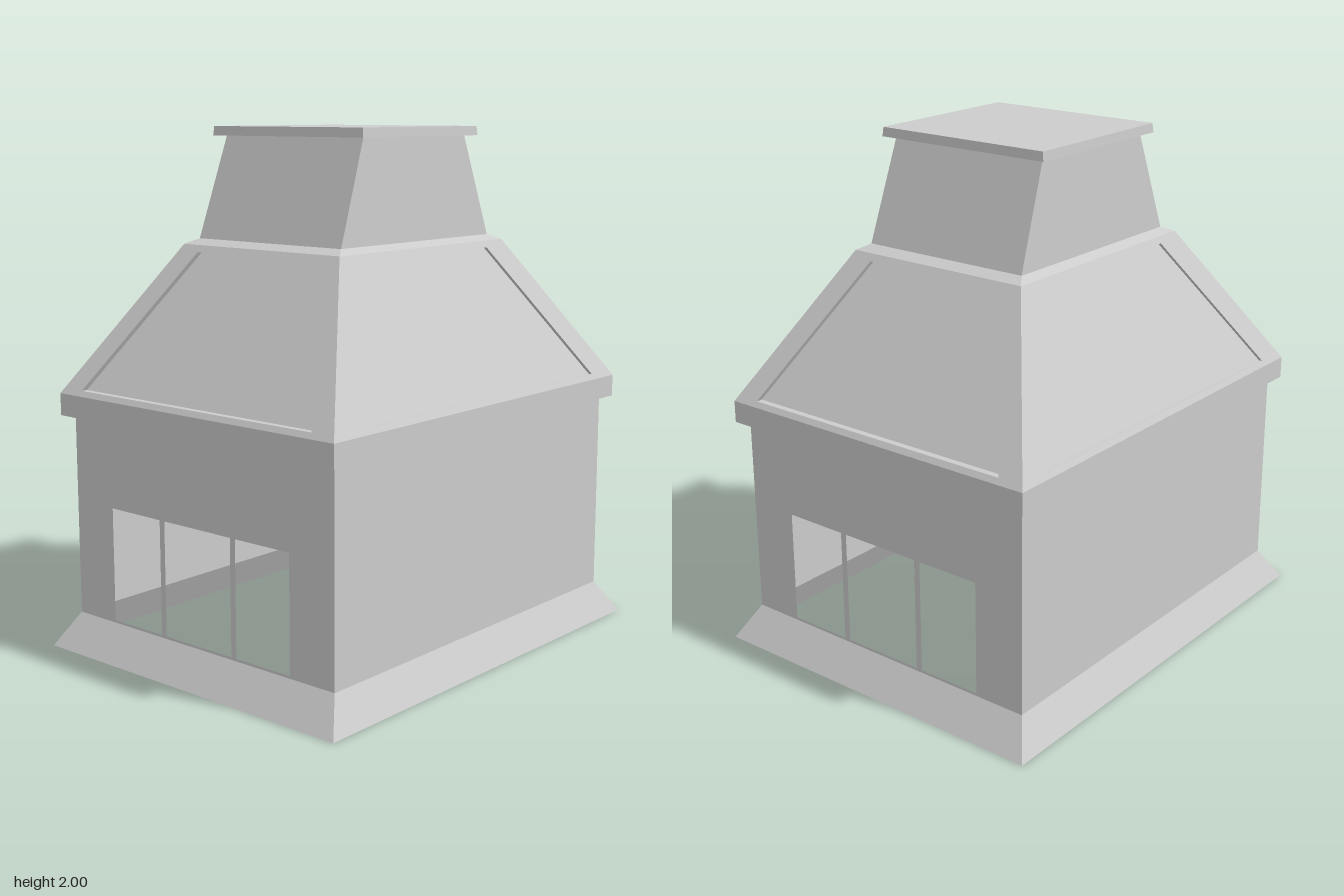
import * as THREE from 'three';

const material = new THREE.MeshStandardMaterial({ color: 0xcccccc, flatShading: true, side: THREE.DoubleSide });

// Flat-shaded mesh from quads, each given as four [x, y, z] corners counter-clockwise.
function quadMesh(name, quads) {
  const pos = [];
  for (const [a, b, c, d] of quads) pos.push(...a, ...b, ...c, ...a, ...c, ...d);
  const geo = new THREE.BufferGeometry();
  geo.setAttribute('position', new THREE.Float32BufferAttribute(pos, 3));
  geo.computeVertexNormals();
  const mesh = new THREE.Mesh(geo, material);
  mesh.name = name;
  return mesh;
}

// Four corners of a level rectangle, running counter-clockwise seen from above.
const corners = ([x, z, y]) => [[-x, y, z], [x, y, z], [x, y, -z], [-x, y, -z]];

// Rectangular shell through [halfX, halfZ, y] sections, bottom to top.
function shell(name, sections, closed = false) {
  const rings = sections.map(corners);
  const quads = [];
  for (let i = 0; i < rings.length - 1; i++) {
    for (let k = 0; k < 4; k++) {
      const n = (k + 1) % 4;
      quads.push([rings[i][k], rings[i][n], rings[i + 1][n], rings[i + 1][k]]);
    }
  }
  if (closed) quads.push(rings[rings.length - 1]);
  return quadMesh(name, quads);
}

// One roof slope facing +z with a recessed panel; lower/upper are [halfWidth, y, depth].
function roofSlope(lower, upper, panelLow, panelHigh, recess) {
  const depthAt = y => THREE.MathUtils.mapLinear(y, lower[1], upper[1], lower[2], upper[2]);
  const trapezoid = ([w0, y0], [w1, y1], inset) => [
    [-w0, y0, depthAt(y0) - inset], [w0, y0, depthAt(y0) - inset],
    [w1, y1, depthAt(y1) - inset], [-w1, y1, depthAt(y1) - inset],
  ];
  const outer = trapezoid(lower, upper, 0);
  const rim = trapezoid(panelLow, panelHigh, 0);
  const sunk = trapezoid(panelLow, panelHigh, recess);
  const quads = [sunk];
  for (let k = 0; k < 4; k++) {
    const n = (k + 1) % 4;
    quads.push([outer[k], outer[n], rim[n], rim[k]], [rim[k], rim[n], sunk[n], sunk[k]]);
  }
  return quadMesh('roofSlope', quads);
}

// Upright wall facing +z, with optional window openings [x0, x1].
function wall(name, halfWidth, depth, y0, y1, windows = []) {
  const rect = (s, xa, ya, xb, yb) =>
    s.moveTo(xa, ya).lineTo(xb, ya).lineTo(xb, yb).lineTo(xa, yb).closePath();
  const shape = rect(new THREE.Shape(), -halfWidth, y0, halfWidth, y1);
  for (const [a, b] of windows) shape.holes.push(rect(new THREE.Path(), a, 0.14, b, 0.58));
  const mesh = new THREE.Mesh(new THREE.ShapeGeometry(shape).translate(0, 0, depth), material);
  mesh.name = name;
  return mesh;
}

export function createModel() {
  const model = new THREE.Group();
  model.name = 'roofedTower';

  // Flared skirt at the foot, open underneath
  model.add(shell('baseSkirt', [[0.725, 0.908, 0], [0.655, 0.82, 0.13]]));

  // Walls and roof slopes: front, right, back, left by quarter turns
  const windows = [[-0.455, -0.195], [-0.17, 0.167], [0.192, 0.45]];
  for (let k = 0; k < 4; k++) {
    const gable = k % 2 === 0;
    const side = new THREE.Group();
    side.name = ['frontSide', 'leftSide', 'backSide', 'rightSide'][k];
    side.add(gable
      ? wall('windowWall', 0.655, 0.82, 0.13, 0.915, windows)
      : wall('plainWall', 0.82, 0.655, 0.13, 0.915));
    side.add(gable
      ? roofSlope([0.69, 1, 0.862], [0.39, 1.56, 0.487], [0.58, 1.02], [0.3, 1.535], 0.025)
      : roofSlope([0.862, 1, 0.69], [0.487, 1.56, 0.39], [0.72, 1.02], [0.37, 1.535], 0.015));
    side.rotation.y = k * Math.PI / 2;
    model.add(side);
  }

  // Eave: narrow underside and upright fascia
  model.add(shell('eave', [[0.655, 0.82, 0.915], [0.69, 0.862, 0.915], [0.69, 0.862, 1]]));

  // Shoulder and tapering chimney neck
  model.add(shell('roofShoulder', [[0.39, 0.487, 1.56], [0.355, 0.438, 1.58]]));
  model.add(shell('chimneyNeck', [[0.355, 0.438, 1.58], [0.34, 0.3, 1.965]]));

  // Overhanging cap
  model.add(shell('chimneyCap',
    [[0.34, 0.3, 1.965], [0.373, 0.341, 1.965], [0.37, 0.338, 2]], true));

  return model;
}
